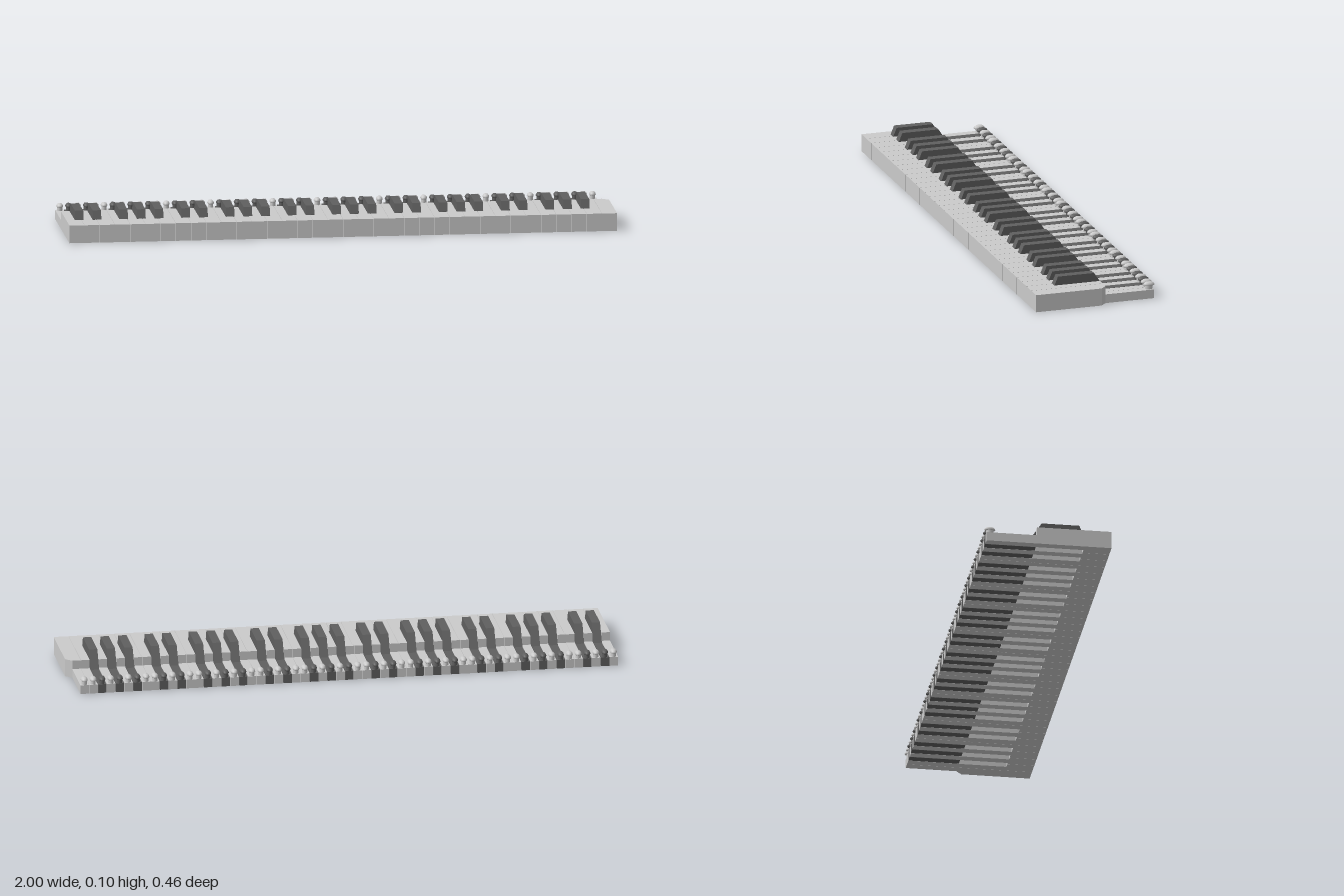
import * as THREE from 'three';

const WHITE_COUNT = 36;
const W = 2 / WHITE_COUNT;        // white key pitch
const P = (W * 7) / 12;           // equal pitch of the key tails
const GAP = 0.0006;
const BACK = -0.225, STEP = -0.04, TAIL_H = 0.033, HEAD_H = 0.065;
const WHITE_SEMITONES = [0, 2, 4, 5, 7, 9, 11];
const BLACK_SEMITONES = [1, 3, 6, 8, 10];

const ivory = new THREE.MeshStandardMaterial({ color: 0xcccccc });
const ebony = new THREE.MeshStandardMaterial({ color: 0x5f5f5f });

function part(name, geometry, material) {
  const mesh = new THREE.Mesh(geometry, material);
  mesh.name = name;
  return mesh;
}

function extrude(points, depth) {
  const shape = new THREE.Shape(points.map(([a, b]) => new THREE.Vector2(a, b)));
  return new THREE.ExtrudeGeometry(shape, { depth, bevelEnabled: false });
}

// Mushroom button at the back end of every key
const stemGeo = new THREE.CylinderGeometry(0.014, 0.014, 0.016, 12).scale(0.7, 1, 1);
const capGeo = new THREE.LatheGeometry(
  [[0, 0.046], [0.018, 0.046], [0.021, 0.049], [0.0185, 0.054], [0.0125, 0.0585], [0, 0.06]]
    .map(([r, y]) => new THREE.Vector2(r, y)), 14).scale(0.6, 1, 1);

function button(x, material) {
  const group = new THREE.Group();
  group.name = 'button';
  const stem = part('buttonStem', stemGeo, material);
  stem.position.y = 0.04;
  group.add(stem, part('buttonCap', capGeo, material));
  group.position.set(x, 0, -0.211);
  return group;
}

// White key: plan outline notched around its black neighbours, plus a low tail
function whiteKey(index) {
  const octave = Math.floor(index / 7);
  const semi = WHITE_SEMITONES[index % 7];
  const last = index === WHITE_COUNT - 1;
  const x0 = -1 + index * W + GAP, x1 = x0 + W - 2 * GAP;
  const t0 = -1 + (octave * 12 + semi) * P + GAP, t1 = t0 + P - 2 * GAP;
  const notchLeft = BLACK_SEMITONES.includes(semi - 1);
  const notchRight = !last && BLACK_SEMITONES.includes(semi + 1);
  const front = 0.233, notch = 0.1345, shoulder = -0.018;

  const outline = [[x0, front], [x1, front]];
  if (notchRight) outline.push([x1, notch], [t1, notch]);
  else outline.push([x1, shoulder]);
  outline.push([t1, STEP], [t0, STEP]);
  if (notchLeft) outline.push([t0, notch], [x0, notch]);
  else outline.push([x0, shoulder]);

  const head = extrude(outline.map(([x, z]) => [x, -z]), HEAD_H).rotateX(-Math.PI / 2);
  const tail = new THREE.BoxGeometry(t1 - t0, TAIL_H, STEP - BACK)
    .translate((t0 + t1) / 2, TAIL_H / 2, (STEP + BACK) / 2);
  const key = new THREE.Group();
  key.name = 'whiteKey';
  key.add(part('whiteKeyHead', head, ivory), part('whiteKeyTail', tail, ivory),
    button((t0 + t1) / 2, ivory));
  return key;
}

// Black key: one side profile (z, y), with a raised body and a low tail
const blackWidth = P - 0.002;
const blackGeo = extrude([
  [BACK, 0], [STEP, 0], [STEP, TAIL_H], [0.133, TAIL_H], [0.133, HEAD_H],
  [0.12, 0.097], [-0.018, 0.097], [-0.06, TAIL_H], [BACK, TAIL_H],
], blackWidth).rotateY(-Math.PI / 2).translate(blackWidth / 2, 0, 0);

function blackKey(semitone) {
  const x = -1 + (semitone + 0.5) * P;
  const body = part('blackKeyBody', blackGeo, ebony);
  body.position.x = x;
  const key = new THREE.Group();
  key.name = 'blackKey';
  key.add(body, button(x, ebony));
  return key;
}

export function createModel() {
  const keyboard = new THREE.Group();
  keyboard.name = 'keyboard';
  for (let i = 0; i < WHITE_COUNT; i++) keyboard.add(whiteKey(i));
  for (let octave = 0; octave < 5; octave++) {
    for (const semi of BLACK_SEMITONES) keyboard.add(blackKey(octave * 12 + semi));
  }
  return keyboard;
}
